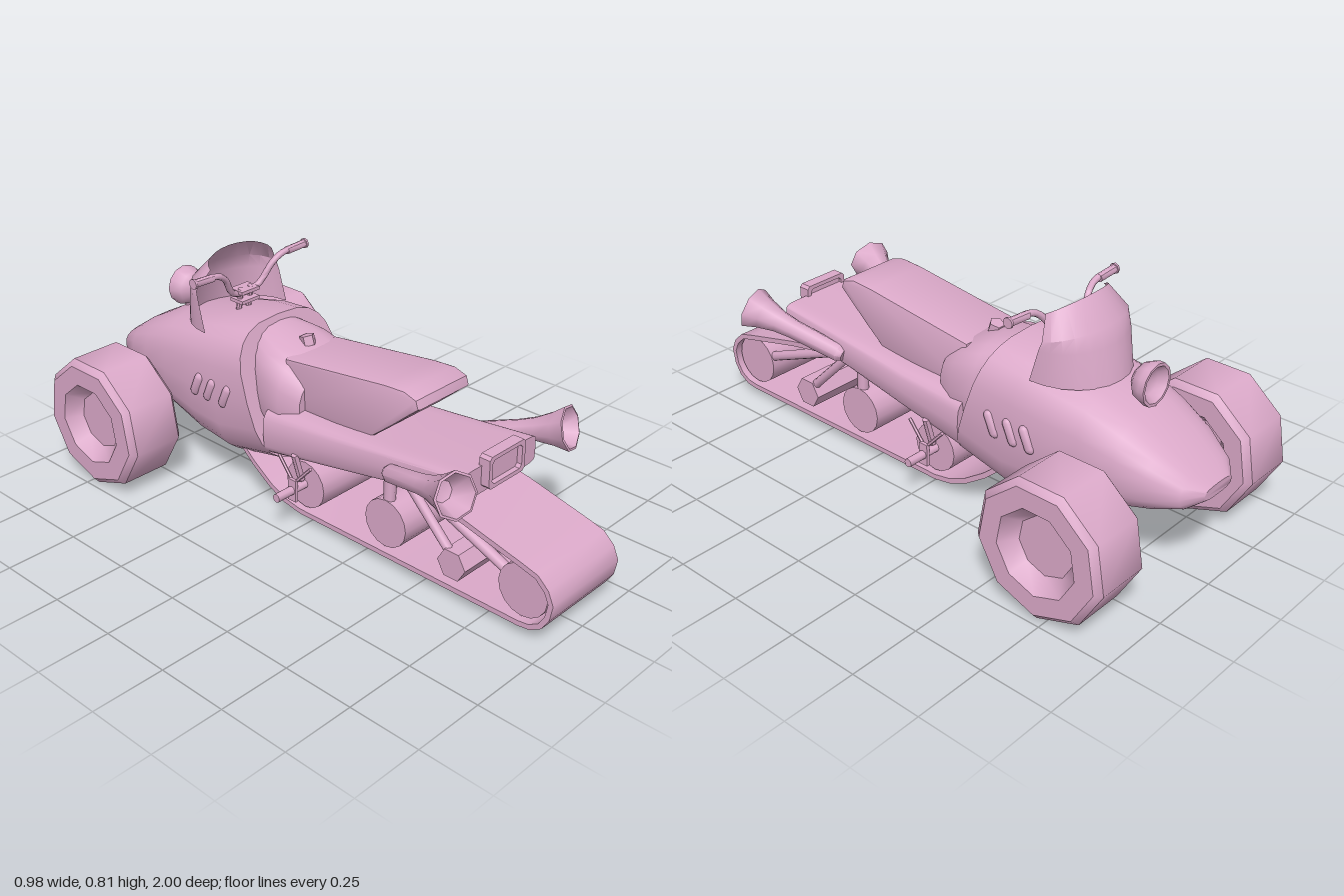
import * as THREE from 'three';
import { toCreasedNormals } from 'three/addons/utils/BufferGeometryUtils.js';

const V = (x, y, z) => new THREE.Vector3(x, y, z);

export function createModel() {
  const group = new THREE.Group();
  const pink = new THREE.MeshStandardMaterial({ color: 0xdba9c9, side: THREE.DoubleSide });
  pink.name = 'dustyPink';

  const add = (name, geo, crease = 0.7) => {
    const mesh = new THREE.Mesh(crease ? toCreasedNormals(geo, crease) : geo, pink);
    mesh.name = name;
    group.add(mesh);
    return mesh;
  };

  // Cylinder between two points
  const rod = (name, a, b, r, sides = 8, r2 = r) => {
    const geo = new THREE.CylinderGeometry(r2, r, a.distanceTo(b), sides);
    const m = add(name, geo, 0.9);
    m.position.copy(a).lerp(b, 0.5);
    m.quaternion.setFromUnitVectors(V(0, 1, 0), b.clone().sub(a).normalize());
    return m;
  };

  // Solid from rings along z: [z, bottom, top, halfWidth, squareness, shear]
  const loft = (sections, n = 24) => {
    const pos = [], idx = [];
    const sp = (v, e) => Math.sign(v) * Math.abs(v) ** (2 / e);
    for (const [z, bot, top, hw, e = 2.8, shear = 0] of sections) {
      const mid = (bot + top) / 2, h = (top - bot) / 2;
      for (let j = 0; j < n; j++) {
        const a = (j / n) * Math.PI * 2;
        const y = mid + h * sp(Math.sin(a), e);
        pos.push(hw * sp(Math.cos(a), e), y, z + shear * (y - 0.4));
      }
    }
    const last = sections.length - 1;
    for (let i = 0; i < last; i++) {
      for (let j = 0; j < n; j++) {
        const k = (j + 1) % n, a = i * n + j, b = i * n + k;
        idx.push(a, b, a + n, b, b + n, a + n);
      }
    }
    for (let j = 1; j < n - 1; j++) {
      idx.push(0, j + 1, j, last * n, last * n + j, last * n + j + 1);
    }
    const geo = new THREE.BufferGeometry();
    geo.setAttribute('position', new THREE.Float32BufferAttribute(pos, 3));
    geo.setIndex(idx);
    return geo;
  };

  // Side outline of [z, y] points extruded across x
  const sideExtrude = (points, halfWidth, hole, bevel = 0) => {
    const to2 = ([z, y]) => new THREE.Vector2(-z, y);
    const shape = new THREE.Shape(points.map(to2));
    if (hole) shape.holes.push(new THREE.Path(hole.map(to2)));
    const depth = 2 * (halfWidth - bevel);
    return new THREE.ExtrudeGeometry(shape, {
      depth, bevelEnabled: bevel > 0, bevelSize: bevel, bevelThickness: bevel,
      bevelOffset: -bevel, bevelSegments: 2,
    }).translate(0, 0, -depth / 2).rotateY(Math.PI / 2);
  };

  // Hood and cowl
  add('body', loft([
    [-1.0, 0.325, 0.365, 0.07],
    [-0.955, 0.29, 0.40, 0.13],
    [-0.86, 0.255, 0.465, 0.175],
    [-0.76, 0.225, 0.52, 0.2],
    [-0.64, 0.19, 0.568, 0.213, 3],
    [-0.5, 0.15, 0.592, 0.22, 3.2],
    [-0.38, 0.13, 0.615, 0.224, 3.2, -0.15],
    [-0.21, 0.17, 0.628, 0.222, 3, -0.33],
  ]), 0.75);

  // Tank between cowl and seat
  add('tank', loft([
    [-0.32, 0.25, 0.615, 0.12],
    [-0.2, 0.25, 0.59, 0.175],
    [-0.11, 0.25, 0.56, 0.18],
    [-0.04, 0.25, 0.51, 0.15],
  ]), 0.9);
  rod('fuelCap', V(0, 0.56, -0.14), V(0, 0.592, -0.15), 0.026, 5);

  // Rear fender and seat
  add('rearFender', loft([
    [-0.16, 0.2, 0.4, 0.2, 4],
    [0.1, 0.255, 0.405, 0.192, 5],
    [0.36, 0.31, 0.425, 0.185, 7],
    [0.66, 0.36, 0.455, 0.182, 9],
  ]), 0.6);
  add('seat', sideExtrude([
    [0.44, 0.57], [0.43, 0.6], [0.38, 0.615], [0.3, 0.61], [-0.13, 0.555],
    [-0.13, 0.4], [0.05, 0.38], [0.25, 0.41], [0.33, 0.475], [0.41, 0.545],
  ], 0.123, null, 0.01), 0.6);

  // Tail lamp frame with recessed panel
  const rect = (T, w, h) => new T([[-w, -h + 0.01], [-w + 0.01, -h], [w - 0.01, -h], [w, -h + 0.01],
    [w, h - 0.01], [w - 0.01, h], [-w + 0.01, h], [-w, h - 0.01]].map(p => new THREE.Vector2(...p)));
  const frame = rect(THREE.Shape, 0.087, 0.055);
  frame.holes.push(rect(THREE.Path, 0.072, 0.041));
  add('tailLampFrame', new THREE.ExtrudeGeometry(frame, { depth: 0.04, bevelEnabled: false }))
    .position.set(0, 0.435, 0.65);
  add('tailLampPanel', new THREE.BoxGeometry(0.15, 0.09, 0.01)).position.set(0, 0.435, 0.667);

  // Track belt: outline with an inner offset loop
  const belt = [[0.88, 0.03], [0.45, 0.03], [-0.03, 0.03], [-0.1, 0.043], [-0.17, 0.075], [-0.25, 0.13],
    [-0.34, 0.21], [-0.3, 0.26], [0, 0.285], [0.42, 0.35], [0.66, 0.305], [0.88, 0.252], [0.94, 0.236],
    [0.98, 0.2], [1.0, 0.155], [0.99, 0.1], [0.965, 0.06], [0.925, 0.036]];
  const inner = belt.map(([z, y], i) => {
    const p = belt[(i + belt.length - 1) % belt.length], q = belt[(i + 1) % belt.length];
    const dz = q[0] - p[0], dy = q[1] - p[1], l = Math.hypot(dz, dy);
    return [z + (dy / l) * 0.018, y - (dz / l) * 0.018];
  });
  add('trackBelt', sideExtrude(belt, 0.166, inner), 0.65);

  // Track rollers
  for (const [z, y, r, sides] of [[0.88, 0.147, 0.09, 16], [0.61, 0.11, 0.055, 6],
    [0.34, 0.143, 0.085, 16], [-0.015, 0.14, 0.085, 16]]) {
    rod('trackRoller', V(-0.15, y, z), V(0.15, y, z), r, sides);
  }

  // Front wheels: nine-sided tyres with dished hubs
  const tyre = [[0, -0.06], [0.1, -0.06], [0.145, -0.11], [0.213, -0.11], [0.235, -0.09],
    [0.235, 0.09], [0.213, 0.11], [0.145, 0.11], [0.1, 0.06], [0, 0.06]]
    .map(p => new THREE.Vector2(...p));
  rod('frontAxle', V(-0.33, 0.235, -0.72), V(0.33, 0.235, -0.72), 0.035, 8);

  // Horn-shaped exhaust profile
  const horn = [[0, 0], [0.022, 0], [0.031, 0.02], [0.034, 0.2], [0.04, 0.26], [0.056, 0.32],
    [0.076, 0.37], [0.068, 0.372], [0.035, 0.3], [0, 0.29]].map(p => new THREE.Vector2(...p));

  for (const s of [1, -1]) {
    add('frontWheel', new THREE.LatheGeometry(tyre, 9, Math.PI / 2).rotateZ(-Math.PI / 2), 0.75)
      .position.set(s * 0.38, 0.235, -0.72);

    const pipe = add('exhaust', new THREE.LatheGeometry(horn, 8, Math.PI / 8), 0.85);
    pipe.position.set(s * 0.183, 0.358, 0.375);
    pipe.quaternion.setFromUnitVectors(V(0, 1, 0), V(s * 0.095, 0.1, 0.34).normalize());

    // Roller struts
    rod('longStrut', V(s * 0.13, 0.345, 0.4), V(s * 0.13, 0.165, 0.84), 0.018);
    rod('shortStrut', V(s * 0.13, 0.34, 0.39), V(s * 0.13, 0.12, 0.61), 0.016);
    rod('uprightStrut', V(s * 0.13, 0.34, 0.34), V(s * 0.13, 0.2, 0.34), 0.02);

    // Foot pegs on hanging brackets
    rod('footPeg', V(s * 0.15, 0.143, -0.018), V(s * 0.282, 0.143, -0.018), 0.015);
    add('pegPlate', new THREE.BoxGeometry(0.012, 0.08, 0.035)).position.set(s * 0.205, 0.143, -0.018);
    rod('pegHanger', V(s * 0.165, 0.165, -0.018), V(s * 0.195, 0.27, -0.018), 0.012);
    for (const z of [-0.09, 0.055]) {
      rod('pegBrace', V(s * 0.195, 0.245, z), V(s * 0.2, 0.165, -0.018), 0.006, 6);
    }

    // Side vents
    for (const z of [-0.32, -0.395, -0.46]) {
      const vent = add('sideVent', new THREE.CapsuleGeometry(0.018, 0.06, 3, 8), 1);
      vent.position.set(s * 0.216, 0.385, z);
      vent.rotation.x = 0.42;
    }

    // Hand grips
    rod('handGrip', V(s * 0.17, 0.771, -0.412), V(s * 0.25, 0.775, -0.41), 0.014);
    rod('gripEnd', V(s * 0.25, 0.775, -0.41), V(s * 0.258, 0.775, -0.41), 0.018);
    rod('forkPost', V(s * 0.022, 0.59, -0.455), V(s * 0.022, 0.68, -0.44), 0.01);
  }

  // Handlebar and clamps
  const bar = [[-0.25, 0.775, -0.41], [-0.15, 0.77, -0.412], [-0.11, 0.745, -0.42], [-0.06, 0.675, -0.44],
    [0, 0.66, -0.445], [0.06, 0.675, -0.44], [0.11, 0.745, -0.42], [0.15, 0.77, -0.412], [0.25, 0.775, -0.41]];
  add('handlebar', new THREE.TubeGeometry(
    new THREE.CatmullRomCurve3(bar.map(p => V(...p))), 36, 0.011, 8), 0.9);
  for (const y of [0.638, 0.672]) {
    add('barClamp', new THREE.BoxGeometry(0.08, 0.012, 0.06)).position.set(0, y, -0.445);
  }

  // Wraparound windscreen: rows of [centreY, sideY, centreZ, sideZ, halfWidth]
  const rows = [[0.565, 0.57, -0.64, -0.44, 0.19], [0.68, 0.68, -0.61, -0.47, 0.188],
    [0.735, 0.71, -0.59, -0.48, 0.185], [0.812, 0.778, -0.515, -0.455, 0.14]];
  const sp = [], si = [], n = 12;
  rows.forEach(([yc, ys, zc, zs, hw], i) => {
    for (let j = 0; j <= n; j++) {
      const a = (j / n - 0.5) * Math.PI, c = Math.cos(a);
      sp.push(hw * Math.sin(a), ys + (yc - ys) * c, zs + (zc - zs) * c);
      if (i && j) {
        const d = i * (n + 1) + j, b = d - n - 1;
        si.push(b - 1, d - 1, b, b, d - 1, d);
      }
    }
  });
  const screen = new THREE.BufferGeometry();
  screen.setAttribute('position', new THREE.Float32BufferAttribute(sp, 3));
  screen.setIndex(si);
  add('windscreen', screen, 0.6);

  // Headlamp bowl facing forward
  const lamp = [[0, 0], [0.035, 0.006], [0.058, 0.025], [0.07, 0.055], [0.07, 0.075],
    [0.06, 0.075], [0.04, 0.05], [0, 0.04]].map(p => new THREE.Vector2(...p));
  add('headlamp', new THREE.LatheGeometry(lamp, 12).rotateX(-Math.PI / 2), 0.8)
    .position.set(0, 0.598, -0.69);
  rod('headlampStem', V(0, 0.48, -0.73), V(0, 0.55, -0.73), 0.02);

  // Round intake on the left flank
  rod('sideIntake', V(0.19, 0.27, -0.7), V(0.258, 0.265, -0.7), 0.08, 10, 0.05);

  return group;
}
